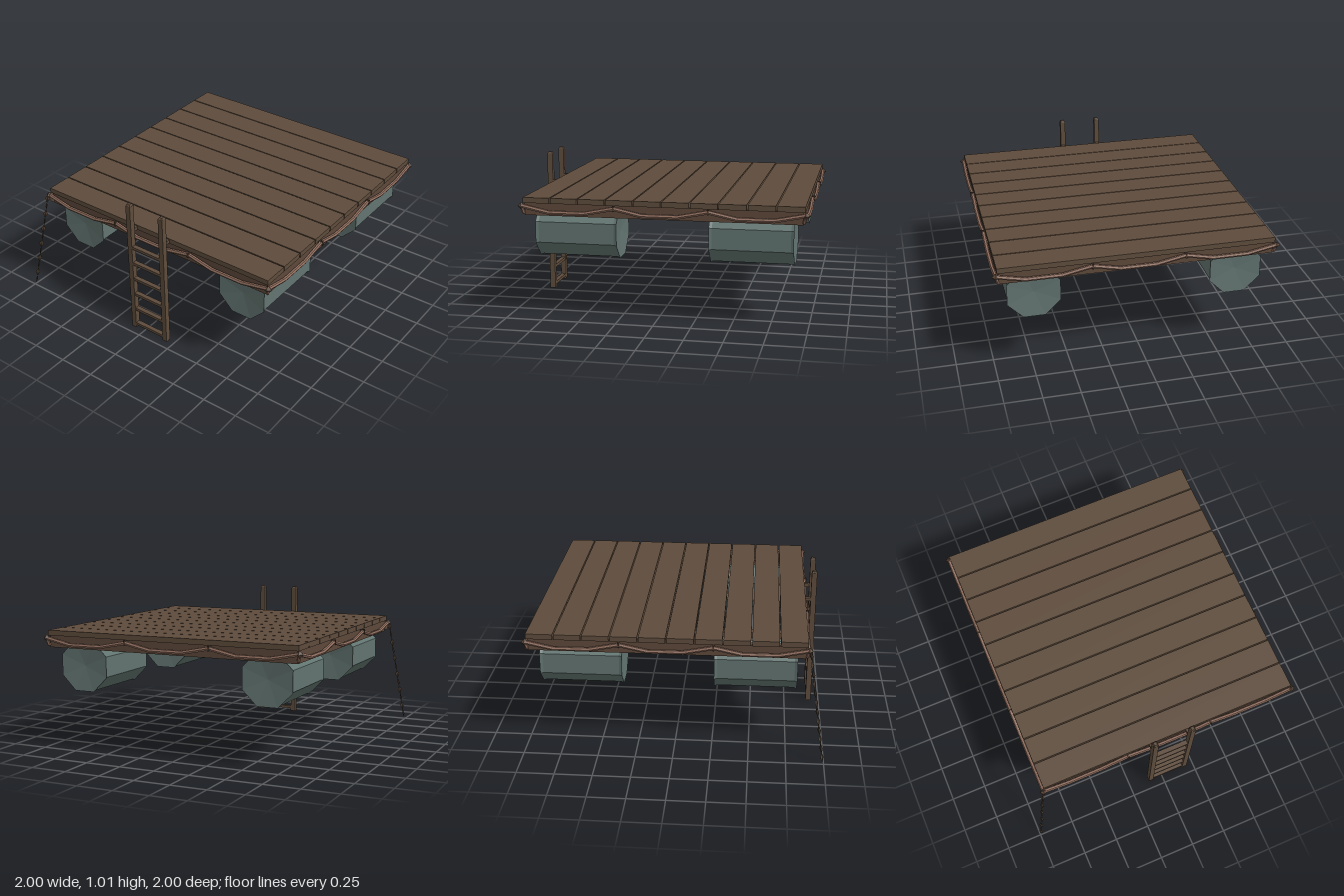
import * as THREE from 'three';

export function createModel() {
  const raft = new THREE.Group();
  raft.name = 'raft';
  const paint = (name, color) => {
    const m = new THREE.MeshStandardMaterial({ color, flatShading: true });
    m.name = name;
    return m;
  };
  const wood = paint('plankWood', 0x5e4c3c);
  const beamWood = paint('beamWood', 0x5d483a);
  const rope = paint('rope', 0x8e6c5c);
  const iron = paint('darkIron', 0x4c3d31);
  const drum = paint('drumGreen', 0x627470);

  const add = (name, geo, mat, x, y, z, parent = raft) => {
    const mesh = new THREE.Mesh(geo, mat);
    mesh.name = name;
    mesh.position.set(x, y, z);
    parent.add(mesh);
    return mesh;
  };
  const box = (name, mat, x0, x1, y0, y1, z0, z1, parent) =>
    add(name, new THREE.BoxGeometry(x1 - x0, y1 - y0, z1 - z0), mat,
      (x0 + x1) / 2, (y0 + y1) / 2, (z0 + z1) / 2, parent);
  const up = new THREE.Vector3(0, 1, 0);
  const rod = (name, mat, a, b, r, parent) => {
    const d = b.clone().sub(a);
    const m = add(name, new THREE.CylinderGeometry(r, r, d.length() + r * 0.5, 6), mat, 0, 0, 0, parent);
    m.position.copy(a).add(b).multiplyScalar(0.5);
    m.quaternion.setFromUnitVectors(up, d.normalize());
  };

  // Deck boards with narrow gaps
  const cx = 0.05, cz = -0.05, pitch = 0.185;
  for (let i = 0; i < 10; i++) {
    const z = -0.976 + i * pitch;
    box('deckPlank', wood, -0.87, 0.97, 0.782, 0.818, z + 0.004, z + pitch - 0.004);
  }

  // Perimeter frame and two joists above the drums
  box('frontBeam', beamWood, -0.86, 0.96, 0.7, 0.782, 0.81, 0.86);
  box('backBeam', beamWood, -0.86, 0.96, 0.7, 0.782, -0.96, -0.91);
  box('rightBeam', beamWood, -0.86, -0.815, 0.7, 0.782, -0.91, 0.81);
  box('leftBeam', beamWood, 0.915, 0.96, 0.7, 0.782, -0.91, 0.81);
  for (const x of [-0.63, 0.73]) box('joist', beamWood, x - 0.03, x + 0.03, 0.7, 0.782, -0.91, 0.81);

  // Eight-sided float drums with flared rims and shallow dished ends
  const L = 0.275, R = 0.19;
  const profile = [[0, -L + 0.015], [R, -L], [R - 0.008, -L + 0.02], [R - 0.008, L - 0.02], [R, L], [0, L - 0.015]]
    .map(([r, y]) => new THREE.Vector2(r, y));
  const drumGeo = new THREE.LatheGeometry(profile, 8, Math.PI / 8).rotateX(Math.PI / 2);
  for (const x of [-0.63, 0.73]) for (const z of [0.535, -0.625]) add('floatDrum', drumGeo, drum, x, 0.575, z);

  // Rope swags hung from pegs, three to a side
  const swag = [[0, 0.764], [0.3, 0.724], [0.68, 0.724], [1, 0.764]];
  const E = 0.927;
  for (let side = 0; side < 4; side++) {
    const g = new THREE.Group();
    g.name = 'ropeSide';
    g.position.set(cx, 0, cz);
    g.rotation.y = side * Math.PI / 2;
    raft.add(g);
    for (let s = 0; s < 3; s++) {
      const x0 = -E + s * E * 2 / 3;
      const pts = swag.map(([t, y]) => new THREE.Vector3(x0 + t * E * 2 / 3, y, E));
      for (let k = 0; k < 3; k++) rod('ropeSwag', rope, pts[k], pts[k + 1], 0.014, g);
      if (s) box('ropePeg', iron, x0 - 0.005, x0 + 0.005, 0.748, 0.782, E - 0.02, E + 0.016, g);
    }
    // Corner knot with a short hanging end
    add('cornerKnot', new THREE.OctahedronGeometry(0.026), beamWood, E, 0.762, E, g);
    rod('ropeEnd', rope, new THREE.Vector3(E, 0.76, E), new THREE.Vector3(E - 0.012, 0.715, E - 0.012), 0.011, g);
  }

  // Boarding ladder
  const ladder = new THREE.Group();
  ladder.name = 'ladder';
  raft.add(ladder);
  for (const x of [-0.087, 0.183]) {
    box('ladderRail', wood, x - 0.018, x + 0.018, 0, 1, 0.907, 0.945, ladder);
    const cap = add('railCap', new THREE.CylinderGeometry(0.016, 0.0255, 0.012, 4, 1, false, Math.PI / 4), wood, x, 1.006, 0.926, ladder);
    cap.scale.x = 0.95;
    box('railBracket', wood, x - 0.012, x + 0.012, 0.786, 0.81, 0.865, 0.908, ladder);
  }
  for (let i = 0; i < 6; i++) {
    const y = 0.03 + i * 0.129;
    box('ladderRung', wood, -0.07, 0.166, y - 0.01, y + 0.01, 0.91, 0.942, ladder);
  }

  // Anchor chain of flat diamond links, alternately turned
  const chain = new THREE.Group();
  chain.name = 'anchorChain';
  raft.add(chain);
  const top = new THREE.Vector3(-0.885, 0.765, 0.885), foot = new THREE.Vector3(-0.992, 0.015, 0.992);
  const dir = foot.clone().sub(top), n = 12, len = dir.length() / n;
  const tilt = new THREE.Quaternion().setFromUnitVectors(up, dir.clone().normalize().negate());
  for (let i = 0; i < n; i++) {
    const link = add('chainLink', new THREE.OctahedronGeometry(1), iron, 0, 0, 0, chain);
    link.scale.set(0.016, len * 0.56, 0.006);
    link.position.copy(top).addScaledVector(dir, (i + 0.5) / n);
    link.quaternion.copy(tilt).multiply(new THREE.Quaternion().setFromAxisAngle(up, Math.PI / 4 + (i % 2) * Math.PI / 2));
  }
  return raft;
}
